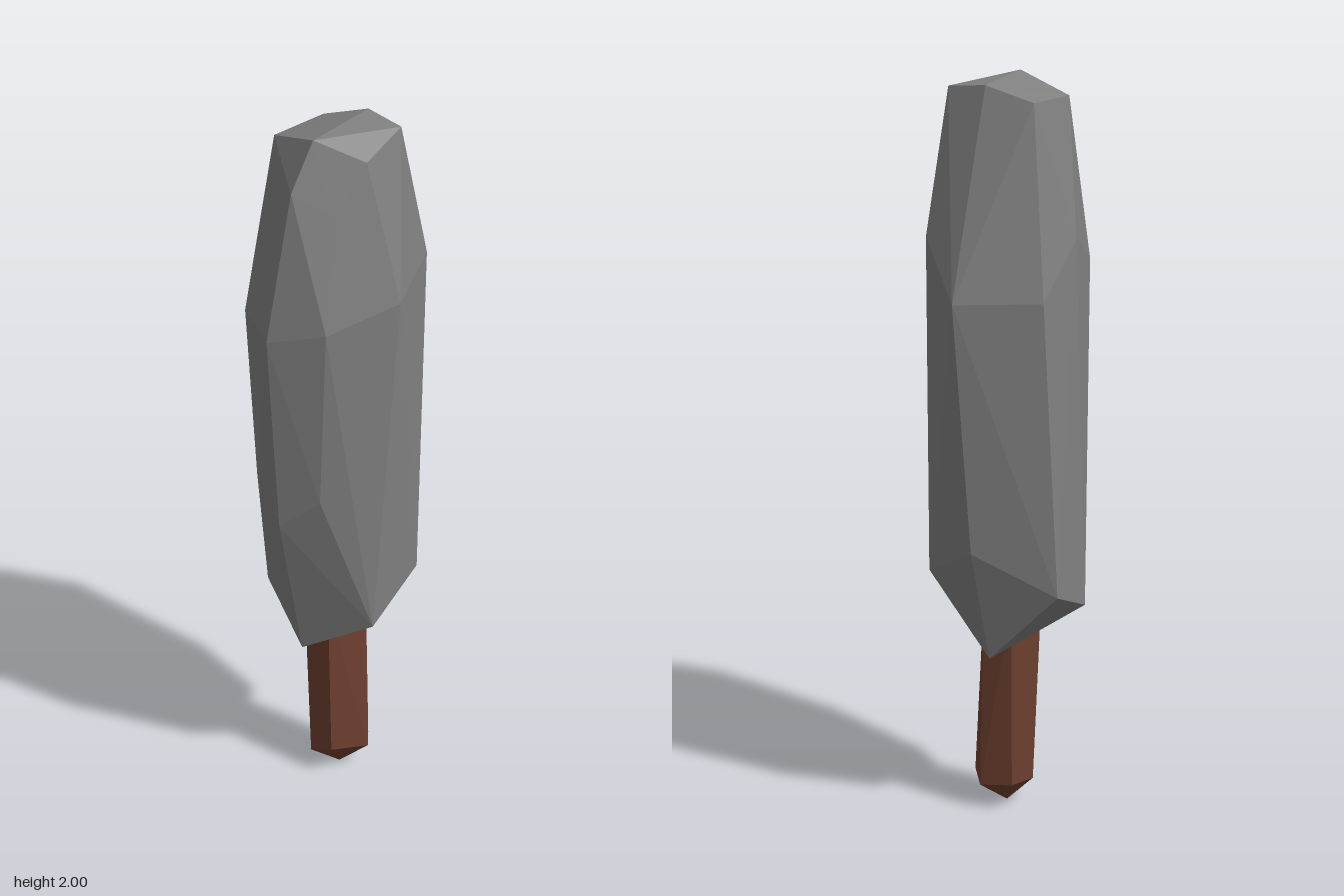
import * as THREE from 'three';
import { ConvexGeometry } from 'three/addons/geometries/ConvexGeometry.js';

// Faceted solid wrapped around rings of corner points
function facetedSolid(name, rings, material) {
  const points = rings.flat().map((p) => new THREE.Vector3(...p));
  const mesh = new THREE.Mesh(new ConvexGeometry(points), material);
  mesh.name = name;
  return mesh;
}

export function createModel() {
  const group = new THREE.Group();
  group.name = 'stoneClub';

  const stone = new THREE.MeshStandardMaterial({ color: 0x808080, flatShading: true });
  stone.name = 'grey stone';
  const wood = new THREE.MeshStandardMaterial({ color: 0x6e4030, flatShading: true });
  wood.name = 'brown wood';

  // Chipped stone head: crown, upper front bevel, shoulder, lower front, base
  const crown = [
    [0.03, 2.0, 0.14], [0.115, 1.93, 0.04], [0.12, 1.98, -0.09],
    [0.005, 1.99, -0.11], [-0.12, 1.95, -0.09], [-0.135, 1.95, 0.085],
  ];
  const bevel = [[0.015, 1.88, 0.207], [0.085, 1.81, 0.13], [-0.127, 1.8, 0.12]];
  const shoulder = [
    [-0.02, 1.49, 0.267], [0.11, 1.52, 0.195], [0.207, 1.57, 0.02], [0.137, 1.61, -0.185],
    [0.02, 1.46, -0.268], [-0.18, 1.46, -0.155], [-0.198, 1.6, 0], [-0.148, 1.51, 0.195],
  ];
  const lowerFront = [[-0.015, 0.93, 0.235], [0.085, 1.02, 0.19], [-0.125, 1.03, 0.19]];
  const base = [
    [-0.02, 0.48, 0.14], [0.165, 0.59, 0.065], [0.17, 0.69, -0.125], [-0.005, 0.79, -0.22],
    [-0.015, 0.47, -0.135], [-0.21, 0.67, -0.125], [-0.205, 0.59, 0.06],
  ];
  group.add(facetedSolid('stoneHead', [crown, bevel, shoulder, lowerFront, base], stone));

  // Slightly leaning six-sided handle with a pointed end
  const handleTop = [
    [-0.075, 0.6, 0.06], [0.015, 0.6, 0.07], [0.05, 0.6, -0.02],
    [0.03, 0.6, -0.08], [-0.05, 0.6, -0.075], [-0.09, 0.6, -0.01],
  ];
  const handleBottom = [
    [-0.04, 0.07, 0.08], [0.03, 0.1, 0.075], [0.088, 0.085, -0.02],
    [0.04, 0.07, -0.085], [-0.05, 0.08, -0.07], [-0.08, 0.08, 0],
  ];
  const tip = [[0, 0, 0]];
  group.add(facetedSolid('handle', [handleTop, handleBottom, tip], wood));

  return group;
}
